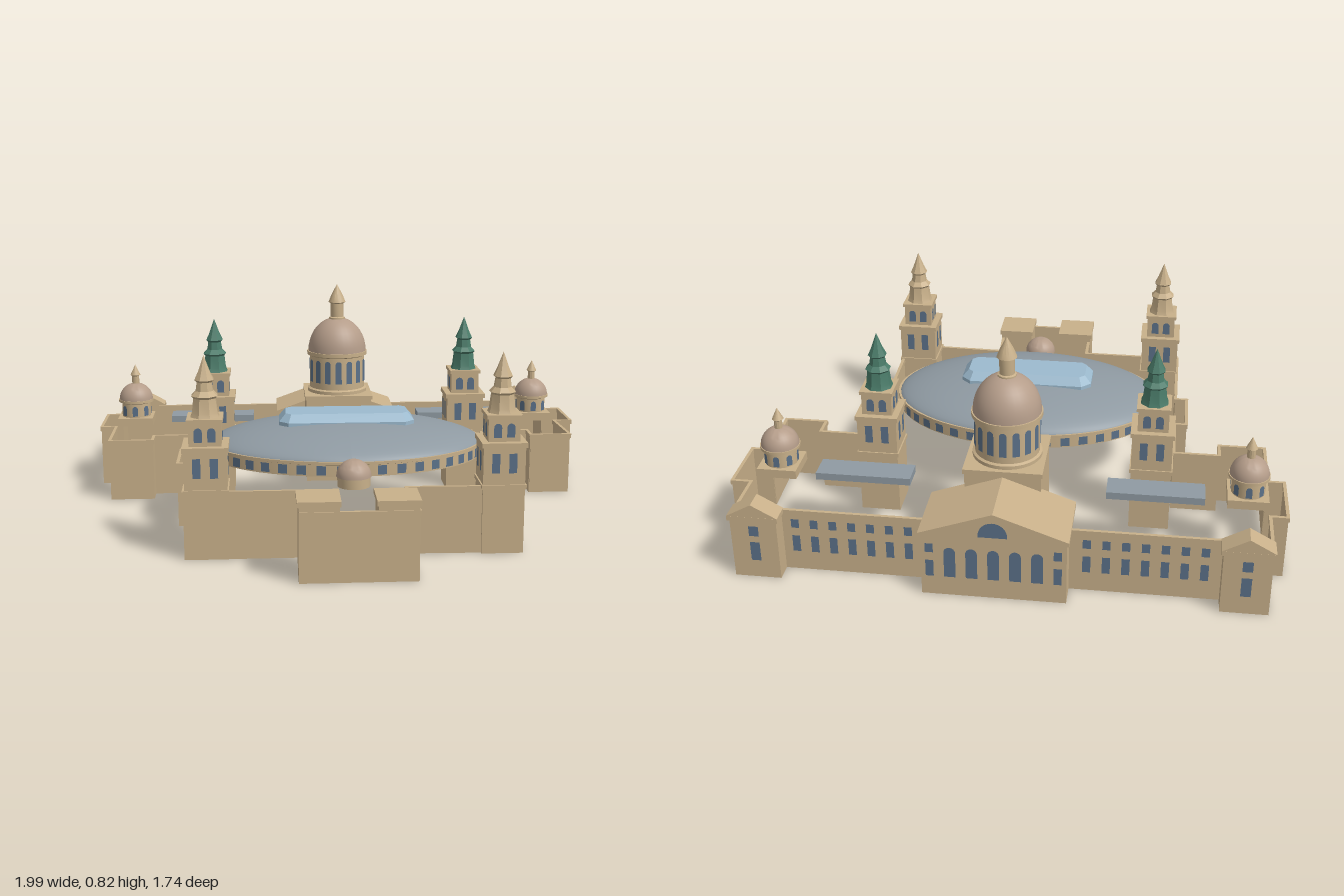
import * as THREE from 'three';
import { toCreasedNormals } from 'three/addons/utils/BufferGeometryUtils.js';
import { ConvexGeometry } from 'three/addons/geometries/ConvexGeometry.js';

const mat = (name, color, side = THREE.FrontSide) =>
  Object.assign(new THREE.MeshStandardMaterial({ color, side }), { name });

export function createModel() {
  const stone = mat('stone', 0xc8b08a, THREE.DoubleSide);
  const domeTile = mat('domeTile', 0xb59d8a, THREE.DoubleSide);
  const slate = mat('slate', 0x8f9aa2, THREE.DoubleSide);
  const skyGlass = mat('skyGlass', 0x9cbace);
  const windowBlue = mat('windowBlue', 0x5b7189);
  const copper = mat('copper', 0x4a7b69);

  const model = new THREE.Group();
  model.name = 'palace';
  const group = (name, x = 0, y = 0, z = 0) => {
    const g = new THREE.Group();
    g.name = name;
    g.position.set(x, y, z);
    model.add(g);
    return g;
  };
  const add = (parent, name, geometry, material, x = 0, y = 0, z = 0) => {
    const m = new THREE.Mesh(geometry, material);
    m.name = name;
    m.position.set(x, y, z);
    parent.add(m);
    return m;
  };
  // Box given by its width, depth and bottom and top heights
  const block = (parent, name, w, d, y0, y1, x = 0, z = 0, material = stone) =>
    add(parent, name, new THREE.BoxGeometry(w, y1 - y0, d), material, x, (y0 + y1) / 2, z);
  const turned = (parent, name, points, material, sides = 32) => {
    const g = new THREE.LatheGeometry(points.map(p => new THREE.Vector2(...p)), sides);
    if (sides === 8) g.rotateY(Math.PI / 8);
    return add(parent, name, toCreasedNormals(g, 0.5), material);
  };
  const domeCurve = (r, y0, h, n = 10) => Array.from({ length: n + 1 }, (_, i) => {
    const a = (i / n) * Math.PI / 2;
    return [Math.max(0, r * Math.cos(a)), y0 + h * Math.sin(a)];
  });
  // Flat pane, optionally with a round head, turned to face angle a about y
  const pane = (parent, w, h, x, y, z, a, arched = false) => {
    const s = new THREE.Shape();
    const top = arched ? h - w / 2 : h;
    s.moveTo(-w / 2, 0);
    s.lineTo(w / 2, 0);
    s.lineTo(w / 2, top);
    if (arched) s.absarc(0, top, w / 2, 0, Math.PI);
    else s.lineTo(-w / 2, top);
    add(parent, 'window', new THREE.ShapeGeometry(s, 6), windowBlue, x, y, z).rotation.y = a;
  };
  const gable = (parent, name, w, eave, ridge, z0, z1, x) => {
    const s = new THREE.Shape();
    s.moveTo(-w / 2, eave);
    s.lineTo(w / 2, eave);
    s.lineTo(0, ridge);
    const g = new THREE.ExtrudeGeometry(s, { depth: z1 - z0, bevelEnabled: false });
    add(parent, name, g, stone, x, 0, z0);
  };

  // Open perimeter walls with a cornice
  const plan = [
    [-0.93, -0.775], [-0.93, -0.61], [-0.99, -0.61], [-0.99, -0.38], [-0.93, -0.38], [-0.93, -0.14],
    [-0.76, -0.14], [-0.76, -0.215], [-0.59, -0.215], [-0.59, 0.01], [-0.635, 0.01], [-0.635, 0.22],
    [-0.59, 0.22], [-0.59, 0.6], [-0.195, 0.6], [-0.195, 0.855], [0.195, 0.855], [0.18, 0.58],
    [0.59, 0.59], [0.58, 0.215], [0.62, 0.215], [0.615, 0.01], [0.575, 0.01], [0.575, -0.22],
    [0.77, -0.22], [0.77, -0.14], [0.93, -0.14], [0.92, -0.38], [0.99, -0.38], [0.99, -0.61],
    [0.92, -0.61], [0.92, -0.775],
  ];
  const walls = group('perimeterWalls');
  plan.forEach(([x0, z0], i) => {
    const [x1, z1] = plan[(i + 1) % plan.length];
    const len = Math.hypot(x1 - x0, z1 - z0), a = -Math.atan2(z1 - z0, x1 - x0);
    const x = (x0 + x1) / 2, z = (z0 + z1) / 2;
    block(walls, 'wall', len, 0.004, 0, 0.235, x, z).rotation.y = a;
    block(walls, 'cornice', len + 0.01, 0.012, 0.228, 0.245, x, z).rotation.y = a;
  });

  // Rear wing windows in two rows
  for (const s of [-1, 1]) for (let i = 0; i < 7; i++) {
    const x = s * (0.31 + i * 0.067);
    pane(walls, 0.028, 0.065, x, 0.075, -0.7785, Math.PI);
    pane(walls, 0.028, 0.035, x, 0.172, -0.7785, Math.PI);
  }

  // Rear corner pavilions
  for (const x of [-0.85, 0.84]) {
    const g = group('cornerPavilion');
    block(g, 'body', 0.165, 0.065, 0, 0.24, x, -0.81);
    block(g, 'cornice', 0.18, 0.075, 0.232, 0.25, x, -0.813);
    gable(g, 'pediment', 0.18, 0.25, 0.3, -0.85, -0.775, x);
    pane(g, 0.035, 0.075, x, 0.07, -0.8445, Math.PI);
    pane(g, 0.035, 0.04, x, 0.17, -0.8445, Math.PI);
  }

  // Rear portico
  const portico = group('portico');
  block(portico, 'body', 0.5, 0.085, 0, 0.24, 0, -0.82);
  block(portico, 'cornice', 0.515, 0.26, 0.235, 0.25, 0, -0.74);
  gable(portico, 'pediment', 0.515, 0.25, 0.342, -0.87, -0.61, 0);
  for (let i = -2; i <= 2; i++) pane(portico, 0.04, 0.12, i * 0.075, 0.075, -0.8645, Math.PI, true);
  for (const x of [-0.22, 0.22]) {
    pane(portico, 0.028, 0.065, x, 0.075, -0.8645, Math.PI);
    pane(portico, 0.028, 0.035, x, 0.172, -0.8645, Math.PI);
  }
  pane(portico, 0.1, 0.058, 0, 0.252, -0.8725, Math.PI, true);

  // Two front blocks
  for (const x of [-0.135, 0.128]) {
    const g = group('frontBlock');
    block(g, 'body', 0.135, 0.14, 0, 0.262, x, 0.787);
    block(g, 'cap', 0.146, 0.152, 0.262, 0.28, x, 0.787);
  }

  // Four towers, the rear pair with copper tops
  for (const [x, z, top] of [[-0.513, 0.53, stone], [0.52, 0.525, stone],
    [-0.51, -0.29, copper], [0.51, -0.287, copper]]) {
    const t = group('tower', x, 0, z);
    block(t, 'shaft', 0.148, 0.148, 0, 0.385);
    block(t, 'stringCourse', 0.158, 0.158, 0.235, 0.25);
    block(t, 'shaftCornice', 0.16, 0.16, 0.383, 0.4);
    block(t, 'belfry', 0.112, 0.112, 0.4, 0.485);
    block(t, 'belfryCornice', 0.124, 0.124, 0.482, 0.495);
    turned(t, 'spire', [[0, 0.495], [0.053, 0.495], [0.047, 0.51], [0.041, 0.56], [0.048, 0.568],
      [0.032, 0.585], [0.027, 0.615], [0.035, 0.623], [0.022, 0.65], [0, 0.708]], top, 8);
    for (let k = 0; k < 4; k++) {
      const a = k * Math.PI / 2, c = Math.cos(a), s = Math.sin(a);
      for (const u of [-1, 1]) {
        const put = (w, h, off, y, d, arch) =>
          pane(t, w, h, u * off * c + d * s, y, -u * off * s + d * c, a, arch);
        put(0.028, 0.07, 0.03, 0.292, 0.0765, false);
        put(0.028, 0.05, 0.023, 0.415, 0.0585, true);
      }
    }
  }

  // Main dome on its square base
  const main = group('mainDome', 0, 0, -0.495);
  block(main, 'base', 0.27, 0.27, 0, 0.355);
  block(main, 'baseCornice', 0.282, 0.282, 0.35, 0.367);
  turned(main, 'drum', [[0.125, 0.365], [0.125, 0.38], [0.116, 0.385], [0.116, 0.52],
    [0.127, 0.525], [0.127, 0.54], [0.118, 0.54]], stone);
  turned(main, 'dome', domeCurve(0.122, 0.54, 0.14), domeTile);
  turned(main, 'lantern', [[0.034, 0.665], [0.034, 0.68], [0.027, 0.683], [0.027, 0.74],
    [0.036, 0.745], [0.024, 0.775], [0, 0.82]], stone, 16);
  for (let i = 0; i < 16; i++) {
    const a = i * Math.PI / 8;
    pane(main, 0.026, 0.095, 0.1185 * Math.sin(a), 0.412, 0.1185 * Math.cos(a), a, true);
  }

  // Small side domes
  for (const x of [-0.855, 0.84]) {
    const g = group('sideDome', x, 0, -0.49);
    block(g, 'base', 0.145, 0.145, 0.235, 0.268);
    turned(g, 'drum', [[0.06, 0.265], [0.06, 0.325], [0.073, 0.33], [0.073, 0.34], [0.06, 0.34]], stone);
    turned(g, 'dome', domeCurve(0.07, 0.338, 0.07), domeTile);
    turned(g, 'lantern', [[0.015, 0.4], [0.015, 0.438], [0.021, 0.442], [0, 0.486]], stone, 12);
    for (let i = 0; i < 8; i++) {
      const a = i * Math.PI / 4;
      pane(g, 0.022, 0.042, 0.0625 * Math.sin(a), 0.274, 0.0625 * Math.cos(a), a, true);
    }
  }

  // Little dome behind the entrance
  const entry = group('entranceDome', 0, 0, 0.54);
  turned(entry, 'drum', [[0.058, 0.24], [0.058, 0.275], [0.062, 0.275]], stone);
  turned(entry, 'dome', domeCurve(0.062, 0.275, 0.06), domeTile);

  // Elliptical hall: ring wall, windows, shallow roof and skylight
  const hall = group('ellipticalHall', 0, 0, 0.1);
  const A = 0.515, B = 0.348;
  turned(hall, 'ringWall', [[1, 0.245], [1, 0.288], [1.016, 0.29], [1.016, 0.3], [0.98, 0.3]], stone, 64)
    .scale.set(A, 1, B);
  const roof = Array.from({ length: 15 }, (_, i) => {
    const r = Math.cos(i / 14 * Math.PI / 2);
    return [Math.max(0, r), 0.299 + 0.085 * Math.pow(Math.max(0, 1 - r * r), 0.65)];
  });
  const shell = turned(hall, 'roof', roof, slate, 64);
  shell.geometry = new THREE.LatheGeometry(roof.map(p => new THREE.Vector2(...p)), 64);
  shell.geometry.scale(A, 1, B);
  shell.geometry.computeVertexNormals();
  for (let i = 0; i < 44; i++) {
    const t = (i + 0.5) / 44 * Math.PI * 2, s = Math.sin(t), c = Math.cos(t);
    const a = Math.atan2(s / A, c / B);
    pane(hall, 0.034, 0.034, A * s + 0.003 * Math.sin(a), 0.251, B * c + 0.003 * Math.cos(a), a);
  }
  const octagon = (w, d, k, y) => [-1, 1].flatMap(u => [-1, 1].flatMap(v => [
    new THREE.Vector3(u * w, y, v * (d - k)), new THREE.Vector3(u * (w - k), y, v * d)]));
  add(hall, 'skylight', new ConvexGeometry([...octagon(0.255, 0.092, 0.035, 0.365),
    ...octagon(0.255, 0.092, 0.035, 0.383), ...octagon(0.23, 0.066, 0.02, 0.412)]), skyGlass);

  // Flat slate roofs of the rear wings
  for (const x of [-0.532, 0.519])
    block(model, 'wingRoof', 0.347, 0.1, 0.24, 0.267, x, -0.512, slate);

  return model;
}
